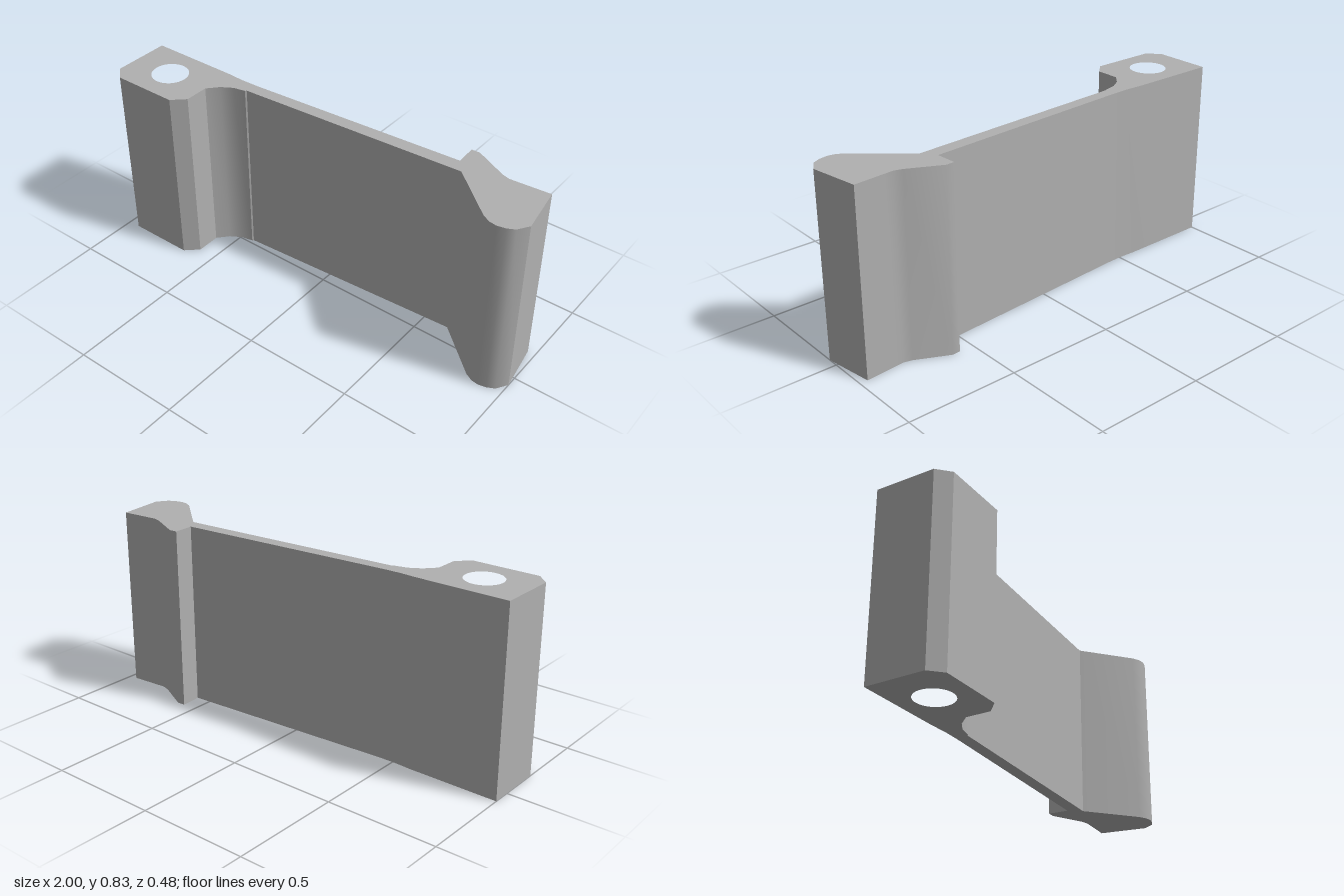
import * as THREE from 'three';
import { toCreasedNormals } from 'three/addons/utils/BufferGeometryUtils.js';

const HEIGHT = 0.83;

export function createModel() {
  const group = new THREE.Group();
  group.name = 'clipLatch';
  const grey = new THREE.MeshStandardMaterial({ color: 0xb0b0b0 });
  grey.name = 'grey';

  // Plan outline as [x, z] pairs, clockwise from the back corner of the pivot block
  const outline = [
    // back of the pivot block and the arm
    [-1, -0.08], [-0.59, -0.08], [-0.51, -0.076], [-0.43, -0.078], [0.572, -0.144],
    // catch lip and the back of the hooked end
    [0.566, -0.238], [0.604, -0.24], [0.75, -0.168], [0.786, -0.158], [0.83, -0.161], [0.965, -0.172],
    // rounded thumb grip
    [1, 0.048], [0.968, 0.098], [0.935, 0.115], [0.898, 0.123], [0.865, 0.118], [0.83, 0.1],
    // front of the arm and the fillet into the block
    [0.615, -0.085], [-0.435, -0.022], [-0.44, -0.016], [-0.495, -0.004], [-0.545, 0.026], [-0.588, 0.075],
    // chamfered front of the block
    [-0.588, 0.185], [-0.645, 0.238], [-0.945, 0.238], [-1, 0.185],
  ];
  const shape = new THREE.Shape(outline.map(([x, z]) => new THREE.Vector2(x, -z)));

  // Pivot pin hole
  const hole = new THREE.Path();
  hole.absarc(-0.795, -0.077, 0.083, 0, Math.PI * 2, true);
  shape.holes.push(hole);

  // Extrude the plan upwards, keeping hard corners and smoothing the shallow bends
  const extruded = new THREE.ExtrudeGeometry(shape, { depth: HEIGHT, bevelEnabled: false, curveSegments: 20 });
  extruded.rotateX(-Math.PI / 2);
  const body = new THREE.Mesh(toCreasedNormals(extruded, THREE.MathUtils.degToRad(32)), grey);
  body.name = 'latchBody';
  group.add(body);
  return group;
}
